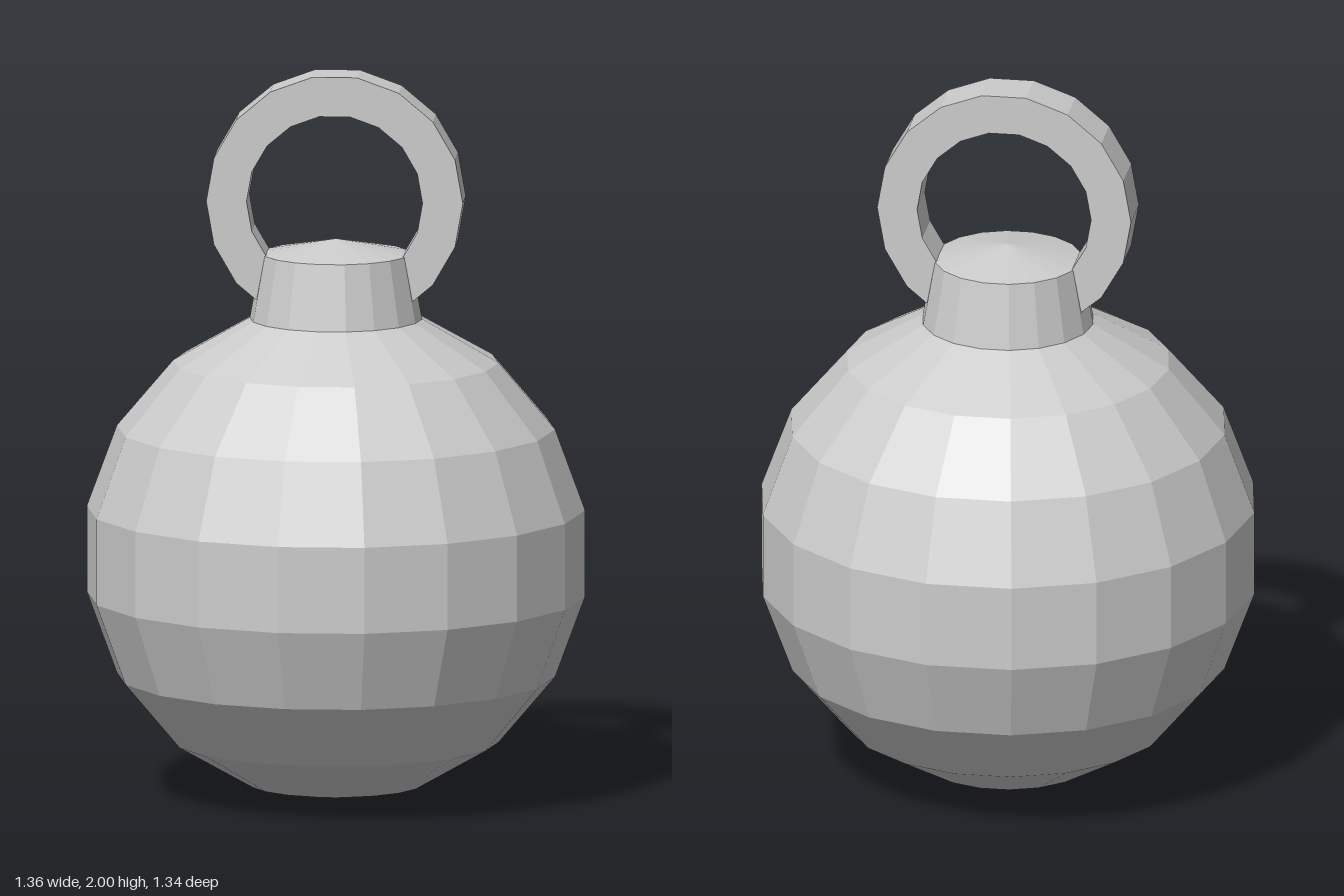
import * as THREE from 'three';

const SIDES = 18;
const material = new THREE.MeshStandardMaterial({ color: 0xcccccc, flatShading: true });

// Faceted solid of revolution about y, with a vertex on the x axis
function turned(name, profile) {
  const points = profile.map(([r, y]) => new THREE.Vector2(r, y));
  const mesh = new THREE.Mesh(new THREE.LatheGeometry(points, SIDES, Math.PI / 2), material);
  mesh.name = name;
  return mesh;
}

export function createModel() {
  const group = new THREE.Group();
  group.name = 'bauble';

  // Round body: nine bands from pole to pole
  const bands = 9, radius = 0.69, halfHeight = 0.683;
  const ball = [];
  for (let i = 0; i <= bands; i++) {
    const a = (i / bands) * Math.PI;
    ball.push([radius * Math.sin(a), halfHeight * (1 - Math.cos(a))]);
  }
  group.add(turned('ball', ball));

  // Tapered cap with a shallow conical top
  group.add(turned('cap', [[0, 1.32], [0.236, 1.32], [0.202, 1.505], [0, 1.545]]));

  // Square-section hanging ring, its lower part sunk into the cap
  const inner = 0.24, outer = 0.35, half = 0.067;
  const ring = turned('hangingRing', [
    [inner, -half], [outer, -half], [outer, half], [inner, half], [inner, -half],
  ]);
  ring.geometry.rotateX(Math.PI / 2);
  ring.position.y = 1.655;
  group.add(ring);

  return group;
}
